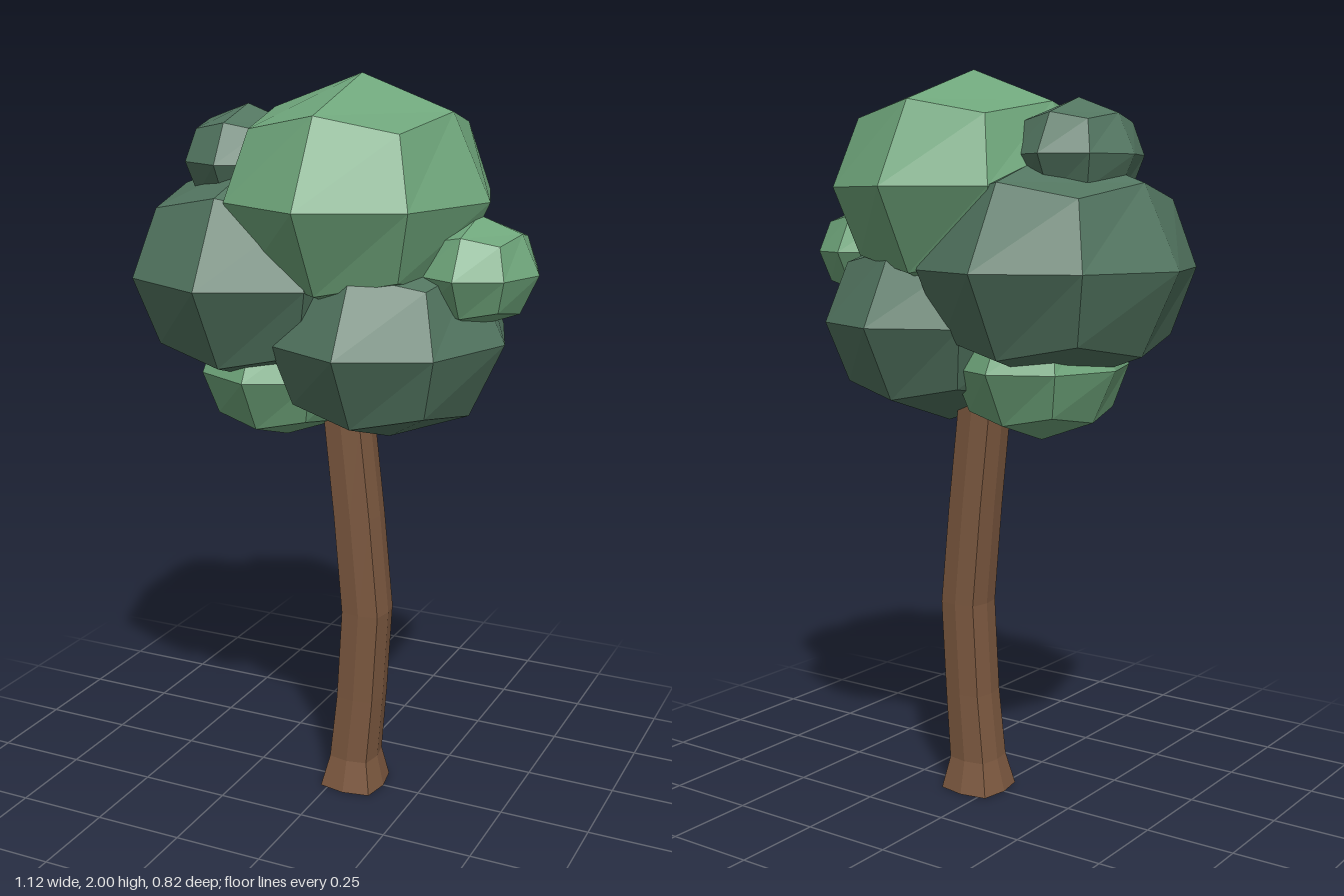
import * as THREE from 'three';

const lightLeaf = new THREE.MeshStandardMaterial({ color: 0x6fa67b, flatShading: true });
const darkLeaf = new THREE.MeshStandardMaterial({ color: 0x527560, flatShading: true });
const bark = new THREE.MeshStandardMaterial({ color: 0x7d5940, flatShading: true });

// Low-poly ellipsoid: a 2x2 segment cube pushed out onto a sphere
function leafGeometry() {
  const geo = new THREE.BoxGeometry(2, 2, 2, 2, 2, 2);
  const pos = geo.attributes.position;
  const v = new THREE.Vector3();
  for (let i = 0; i < pos.count; i++) {
    v.fromBufferAttribute(pos, i).normalize();
    pos.setXYZ(i, v.x, v.y, v.z);
  }
  return geo;
}

// Bent trunk: squarish eight-sided rings, each [y, centre x, half width]
function trunkGeometry() {
  const rings = [
    [0, 0.053, 0.089], [0.09, 0.055, 0.067], [0.28, 0.073, 0.064], [0.54, 0.088, 0.064],
    [0.82, 0.062, 0.063], [1.08, 0.033, 0.062], [1.25, 0.02, 0.06],
  ];
  const sides = 8;
  const points = [];
  const index = [];
  for (const [y, cx, r] of rings) {
    for (let i = 0; i < sides; i++) {
      const a = (i / sides) * Math.PI * 2;
      const k = i % 2 ? r * 1.19 : r; // corners sit farther out than side middles
      points.push(cx + Math.cos(a) * k, y, Math.sin(a) * k);
    }
  }
  for (let j = 0; j < rings.length - 1; j++) {
    for (let i = 0; i < sides; i++) {
      const a = j * sides + i;
      const b = j * sides + ((i + 1) % sides);
      index.push(a, a + sides, b, b, a + sides, b + sides);
    }
  }
  // End caps
  const top = (rings.length - 1) * sides;
  for (let i = 1; i < sides - 1; i++) {
    index.push(0, i, i + 1, top, top + i + 1, top + i);
  }
  const geo = new THREE.BufferGeometry();
  geo.setAttribute('position', new THREE.Float32BufferAttribute(points, 3));
  geo.setIndex(index);
  geo.computeVertexNormals();
  return geo;
}

export function createModel() {
  const tree = new THREE.Group();
  tree.name = 'tree';

  const trunk = new THREE.Mesh(trunkGeometry(), bark);
  trunk.name = 'trunk';
  tree.add(trunk);

  // Foliage clumps: name, centre x, centre y, scale, material
  const foliage = new THREE.Group();
  foliage.name = 'foliage';
  const geo = leafGeometry();
  const clumps = [
    ['crownClump', 0.065, 1.69, 1, lightLeaf],
    ['rightClump', -0.21, 1.48, 1, darkLeaf],
    ['leftLowerClump', 0.15, 1.33, 0.9, darkLeaf],
    ['leftSmallClump', 0.39, 1.515, 0.46, lightLeaf],
    ['rightSmallClump', -0.265, 1.77, 0.47, darkLeaf],
    ['rightLowerClump', -0.157, 1.22, 0.64, lightLeaf],
  ];
  for (const [name, x, y, s, material] of clumps) {
    const clump = new THREE.Mesh(geo, material);
    clump.name = name;
    clump.position.set(x, y, 0);
    clump.scale.set(0.353 * s, 0.31 * s, 0.41 * s);
    foliage.add(clump);
  }
  tree.add(foliage);
  return tree;
}
